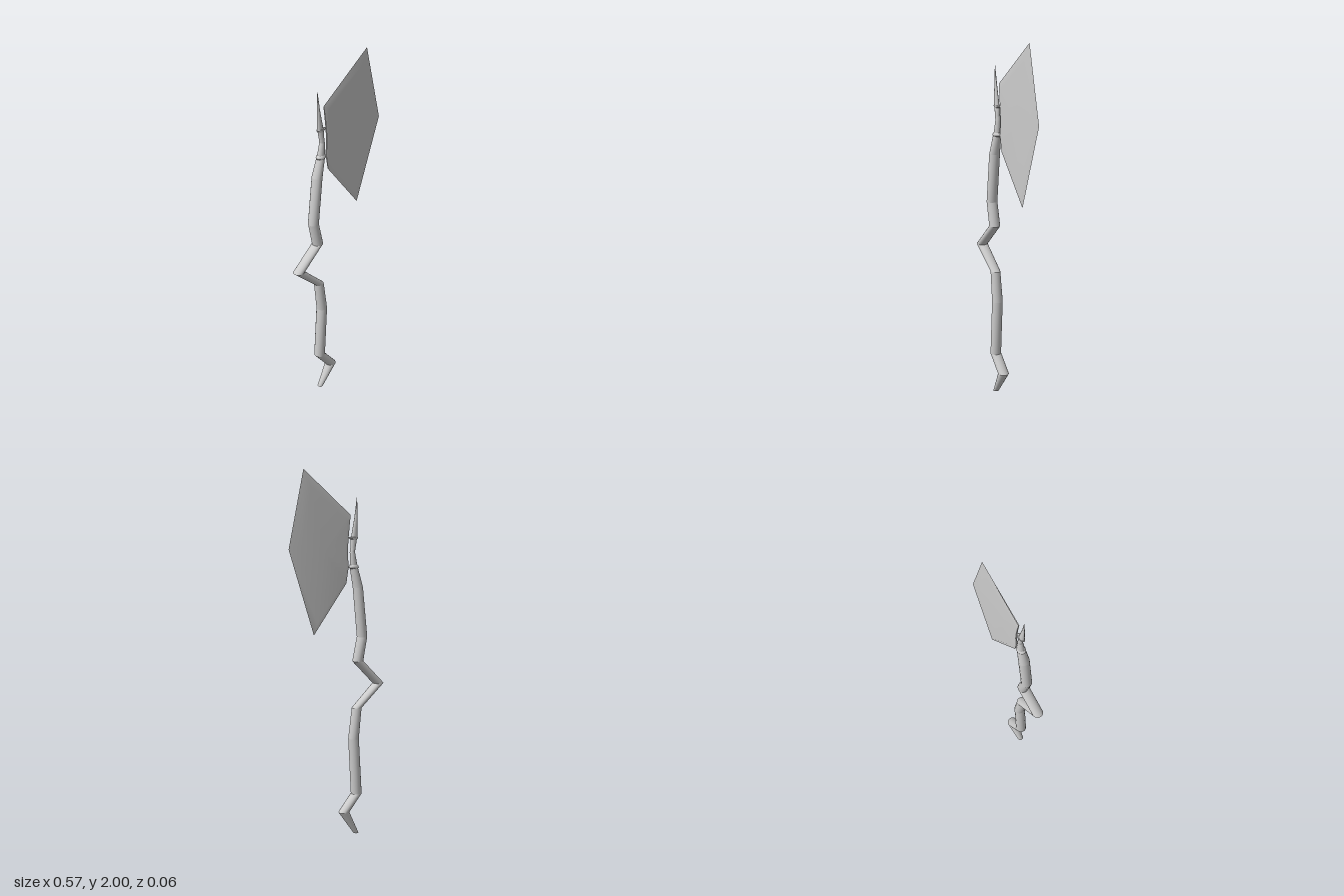
import * as THREE from 'three';

const SIDES = 16;

function surface(name, pos, idx, material) {
  const g = new THREE.BufferGeometry();
  g.setAttribute('position', new THREE.Float32BufferAttribute(pos, 3));
  g.setIndex(idx);
  g.computeVertexNormals();
  const m = new THREE.Mesh(g, material);
  m.name = name;
  return m;
}

// Stack of level elliptical rings [x, y, rx, rz]; each span keeps its own rings so bends stay crisp
function ringStack(name, rings, material) {
  const pos = [], idx = [];
  const ring = ([x, y, rx, rz]) => {
    for (let j = 0; j < SIDES; j++) {
      const a = (j / SIDES) * Math.PI * 2;
      pos.push(x + rx * Math.cos(a), y, rz * Math.sin(a));
    }
  };
  for (let i = 0; i < rings.length - 1; i++) {
    const o = i * 2 * SIDES;
    ring(rings[i]);
    ring(rings[i + 1]);
    for (let j = 0; j < SIDES; j++) {
      const k = (j + 1) % SIDES;
      const a = o + j, b = o + k, c = o + SIDES + j, d = o + SIDES + k;
      idx.push(a, c, b, b, c, d);
    }
  }
  // end caps
  for (const [r, up] of [[rings[0], false], [rings[rings.length - 1], true]]) {
    const o = pos.length / 3;
    ring(r);
    for (let j = 1; j < SIDES - 1; j++) {
      if (up) idx.push(o, o + j + 1, o + j);
      else idx.push(o, o + j, o + j + 1);
    }
  }
  return surface(name, pos, idx, material);
}

// One bevelled face of the blade: thin rim, raised inset loop and a flat middle
function bladeFace(name, rim, inset, side, material) {
  const n = rim.length, pos = [], idx = [];
  rim.forEach(([x, y, z]) => pos.push(x, y, side * z));
  inset.forEach(([x, y]) => pos.push(x, y, side * 0.006));
  pos.push(0.08, 1.57, side * 0.007);
  const tri = (a, b, c) => (side > 0 ? idx.push(a, b, c) : idx.push(a, c, b));
  for (let i = 0; i < n; i++) {
    const k = (i + 1) % n;
    tri(i, k, n + i);
    tri(k, n + k, n + i);
    tri(n + i, n + k, 2 * n);
  }
  return surface(name, pos, idx, material);
}

export function createModel() {
  const model = new THREE.Group();
  model.name = 'crookedAxe';
  const mat = new THREE.MeshStandardMaterial({ color: 0xcccccc, side: THREE.DoubleSide });

  // crooked handle, from foot to collar
  model.add(ringStack('handle', [
    [-0.118, 0, 0.014, 0.016],
    [-0.042, 0.13, 0.03, 0.03],
    [-0.12, 0.227, 0.03, 0.03],
    [-0.102, 0.54, 0.029, 0.03],
    [-0.121, 0.71, 0.027, 0.027],
    [-0.255, 0.835, 0.03, 0.03],
    [-0.127, 0.968, 0.03, 0.03],
    [-0.153, 1.1, 0.028, 0.03],
    [-0.126, 1.37, 0.027, 0.03],
    [-0.102, 1.472, 0.022, 0.022],
  ], mat));

  // neck between two thin collars
  model.add(ringStack('neck', [
    [-0.102, 1.47, 0.022, 0.02],
    [-0.1, 1.477, 0.029, 0.023],
    [-0.1, 1.484, 0.027, 0.022],
    [-0.099, 1.492, 0.02, 0.018],
    [-0.092, 1.56, 0.014, 0.014],
    [-0.095, 1.58, 0.014, 0.014],
    [-0.1, 1.625, 0.018, 0.012],
    [-0.098, 1.632, 0.027, 0.015],
    [-0.098, 1.638, 0.026, 0.015],
  ], mat));

  // top spike
  model.add(ringStack('spike', [
    [-0.103, 1.637, 0.018, 0.012],
    [-0.113, 1.74, 0.009, 0.007],
    [-0.119, 1.845, 0.001, 0.001],
  ], mat));

  // blade, counterclockwise from the upper tip; [x, y, half thickness]
  const rim = [
    [0.197, 2, 0], [-0.08, 1.755, 0.002], [-0.072, 1.69, 0.004], [-0.066, 1.63, 0.004],
    [-0.062, 1.56, 0.004], [-0.067, 1.48, 0.004], [-0.055, 1.395, 0.002],
    [0.14, 1.13, 0], [0.285, 1.59, 0],
  ];
  const inset = [
    [0.157, 1.91], [-0.05, 1.735], [-0.055, 1.69], [-0.051, 1.63],
    [-0.047, 1.56], [-0.052, 1.48], [-0.042, 1.41],
    [0.122, 1.19], [0.215, 1.59],
  ];
  const blade = new THREE.Group();
  blade.name = 'blade';
  blade.add(bladeFace('bladeFront', rim, inset, 1, mat), bladeFace('bladeBack', rim, inset, -1, mat));
  // narrow inner edge closing the gap between the two faces
  const edge = rim.slice(1, 7), pos = [], idx = [];
  edge.forEach(([x, y, z], i) => {
    pos.push(x, y, z, x, y, -z);
    if (i) idx.push(2 * i - 2, 2 * i - 1, 2 * i, 2 * i, 2 * i - 1, 2 * i + 1);
  });
  blade.add(surface('bladeInnerEdge', pos, idx, mat));
  model.add(blade);

  // small prongs joining the collars to the blade
  for (const y of [1.478, 1.635]) {
    const prong = new THREE.Mesh(new THREE.ConeGeometry(0.008, 0.05, 8), mat);
    prong.name = 'prong';
    prong.rotation.z = -Math.PI / 2;
    prong.position.set(-0.073, y, 0);
    model.add(prong);
  }
  return model;
}
